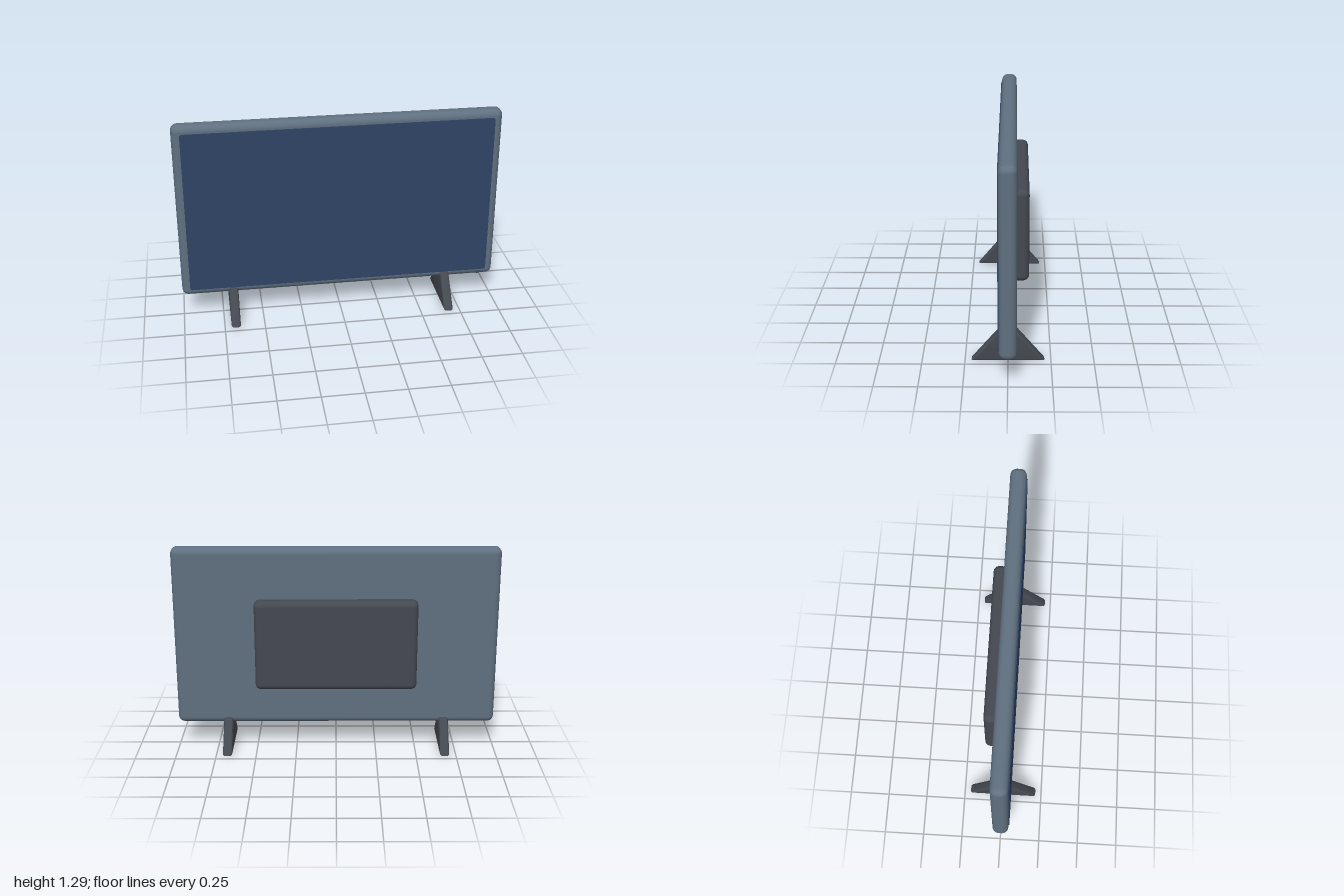
import * as THREE from 'three';
import { toCreasedNormals } from 'three/addons/utils/BufferGeometryUtils.js';
import { RoundedBoxGeometry } from 'three/addons/geometries/RoundedBoxGeometry.js';

function material(name, color) {
  const m = new THREE.MeshStandardMaterial({ color });
  m.name = name;
  return m;
}

function roundedRect(w, h, r) {
  const s = new THREE.Shape(), x = w / 2, y = h / 2;
  s.absarc(x - r, y - r, r, 0, Math.PI / 2);
  s.absarc(-x + r, y - r, r, Math.PI / 2, Math.PI);
  s.absarc(-x + r, -y + r, r, Math.PI, Math.PI * 1.5);
  s.absarc(x - r, -y + r, r, Math.PI * 1.5, Math.PI * 2);
  return s;
}

export function createModel() {
  const group = new THREE.Group();
  const slate = material('slate casing', 0x607080);
  const charcoal = material('charcoal plastic', 0x444850);
  const navy = material('navy glass', 0x2f4464);

  const add = (name, geometry, mat, x, y, z) => {
    const mesh = new THREE.Mesh(geometry, mat);
    mesh.name = name;
    mesh.position.set(x, y, z);
    group.add(mesh);
    return mesh;
  };

  // Casing and the electronics housing on its back
  add('casing', new RoundedBoxGeometry(2, 1.136, 0.1, 5, 0.04), slate, 0, 0.724, 0);
  add('rearHousing', new RoundedBoxGeometry(1, 0.57, 0.12, 5, 0.035), charcoal, 0, 0.69, -0.063);

  // Screen, a thin plate standing just proud of the casing
  const glass = new THREE.ExtrudeGeometry(roundedRect(1.9, 1.044, 0.014), {
    depth: 0.008, bevelEnabled: false, curveSegments: 4,
  });
  add('screen', glass, navy, 0, 0.722, 0.048);

  // Power light on the lower bezel
  add('powerLight', new THREE.SphereGeometry(0.014, 16, 12), charcoal, 0.9, 0.18, 0.044);

  // Feet: bevelled triangles whose tips are buried in the casing
  const bevel = 0.014, width = 0.058;
  const profile = new THREE.Shape();
  profile.moveTo(-0.212, 0.003);
  profile.lineTo(0.212, 0.003);
  profile.lineTo(0.012, 0.246);
  profile.lineTo(-0.012, 0.246);
  profile.closePath();
  const foot = toCreasedNormals(new THREE.ExtrudeGeometry(profile, {
    depth: width - bevel * 2, bevelEnabled: true, bevelThickness: bevel,
    bevelSize: bevel, bevelOffset: -bevel, bevelSegments: 3,
  }).translate(0, 0, bevel - width / 2).rotateY(Math.PI / 2), 0.7);
  foot.translate(0, -0.003, 0);
  for (const side of [-1, 1]) {
    add(side > 0 ? 'leftFoot' : 'rightFoot', foot, charcoal, side * 0.68, 0, 0);
  }

  return group;
}
